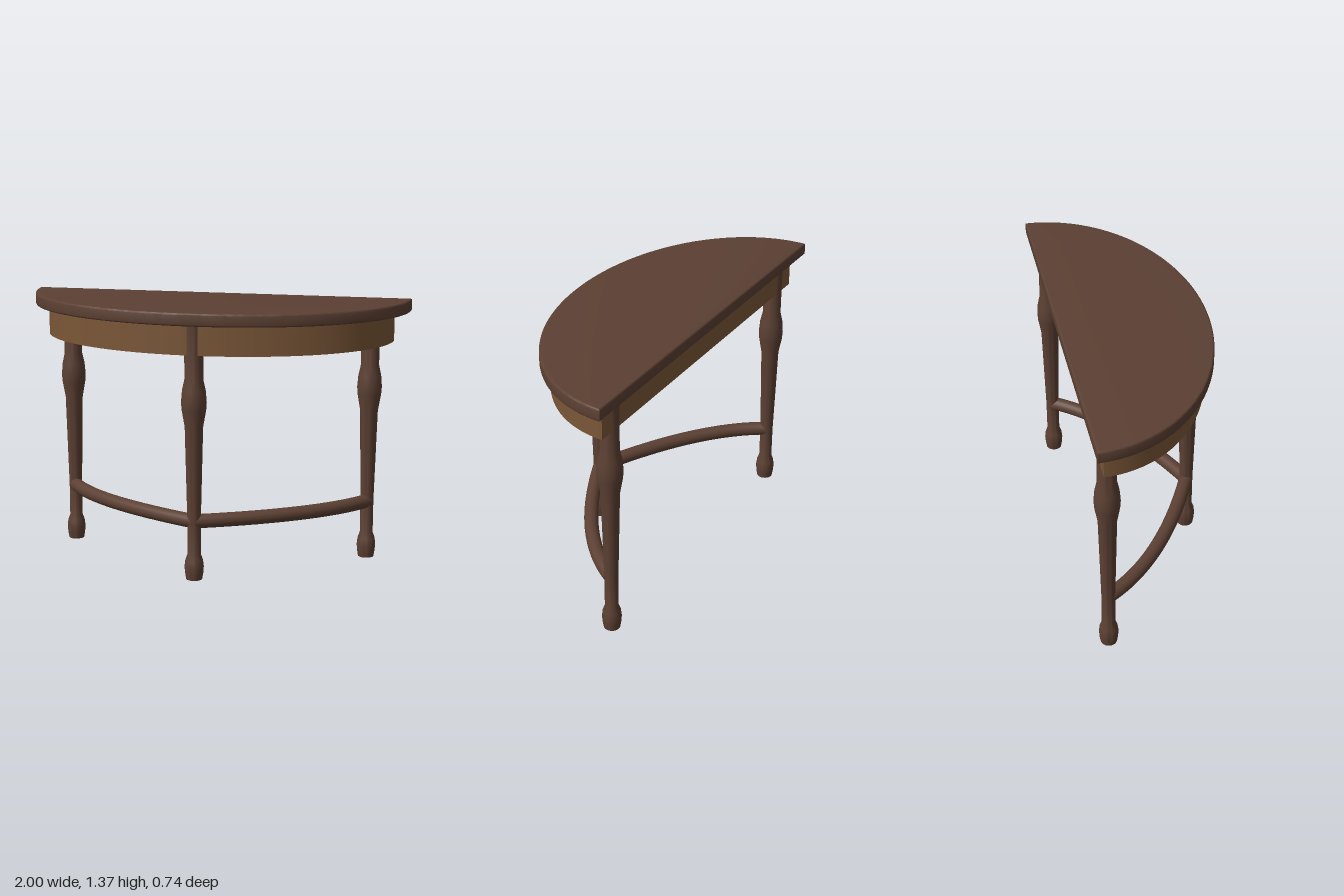
import * as THREE from 'three';
import { toCreasedNormals } from 'three/addons/utils/BufferGeometryUtils.js';

const darkWood = new THREE.MeshStandardMaterial({ color: 0x5c4033 });
const lightWood = new THREE.MeshStandardMaterial({ color: 0x7b5738 });

function addMesh(parent, name, geometry, material) {
  const mesh = new THREE.Mesh(geometry, material);
  mesh.name = name;
  parent.add(mesh);
  return mesh;
}

// Half ellipse: straight side at y = back, bulging towards +y
function halfEllipse(Type, a, b, back) {
  const path = new Type();
  path.absellipse(0, back, a, b, 0, Math.PI, false, 0);
  path.closePath();
  return path;
}

// Extrudes a plan shape and lays it flat between two heights
function slab(shape, bottom, top, bevel) {
  const geometry = new THREE.ExtrudeGeometry(shape, {
    depth: top - bottom - 2 * bevel,
    curveSegments: 64,
    bevelEnabled: bevel > 0,
    bevelSize: bevel,
    bevelOffset: -bevel,
    bevelThickness: bevel,
    bevelSegments: 3,
  });
  geometry.rotateX(Math.PI / 2);
  geometry.translate(0, top - bevel, 0);
  return toCreasedNormals(geometry, 0.6);
}

export function createModel() {
  const table = new THREE.Group();
  table.name = 'halfRoundTable';

  // Half-round top with eased edges
  addMesh(table, 'tableTop', slab(halfEllipse(THREE.Shape, 1, 0.742, -0.371), 1.305, 1.37, 0.009), darkWood);

  // Hollow apron: curved front wall and straight back rail
  const wall = 0.025;
  const apron = halfEllipse(THREE.Shape, 0.917, 0.656, -0.328);
  apron.holes.push(halfEllipse(THREE.Path, 0.917 - wall, 0.656 - 2 * wall, -0.328 + wall));
  addMesh(table, 'apron', slab(apron, 1.155, 1.306, 0), lightWood);

  // Turned legs: foot, tapered shaft, bulb and neck (radius, height)
  const profile = [
    [0, 0], [0.041, 0], [0.046, 0.03], [0.049, 0.065], [0.045, 0.1], [0.034, 0.13],
    [0.034, 0.3], [0.046, 0.79], [0.061, 0.875], [0.064, 0.915], [0.059, 0.975],
    [0.047, 1.03], [0.047, 1.306], [0, 1.306],
  ].map(([r, y]) => new THREE.Vector2(r, y));
  const legGeometry = toCreasedNormals(new THREE.LatheGeometry(profile, 32), 0.9);
  const legs = { frontLeg: [0, 0.29], backLegLeft: [0.8, -0.292], backLegRight: [-0.8, -0.292] };
  for (const [name, [x, z]] of Object.entries(legs)) {
    addMesh(table, name, legGeometry, darkWood).position.set(x, 0, z);
  }

  // Bowed stretchers from the front leg to each back leg
  for (const [side, name] of [[1, 'stretcherLeft'], [-1, 'stretcherRight']]) {
    const curve = new THREE.QuadraticBezierCurve3(
      new THREE.Vector3(0, 0.302, 0.29),
      new THREE.Vector3(side * 0.6, 0.302, 0.035),
      new THREE.Vector3(side * 0.8, 0.302, -0.29),
    );
    const stretcher = new THREE.Group();
    stretcher.name = name;
    table.add(stretcher);
    addMesh(stretcher, 'stretcherRod', new THREE.TubeGeometry(curve, 32, 0.036, 20), darkWood);
    // End caps
    for (const t of [0, 1]) {
      const cap = addMesh(stretcher, 'stretcherEnd', new THREE.CircleGeometry(0.036, 20), darkWood);
      cap.position.copy(curve.getPoint(t));
      const outward = curve.getTangent(t).multiplyScalar(t ? 1 : -1);
      cap.lookAt(cap.position.clone().add(outward));
    }
  }

  return table;
}
